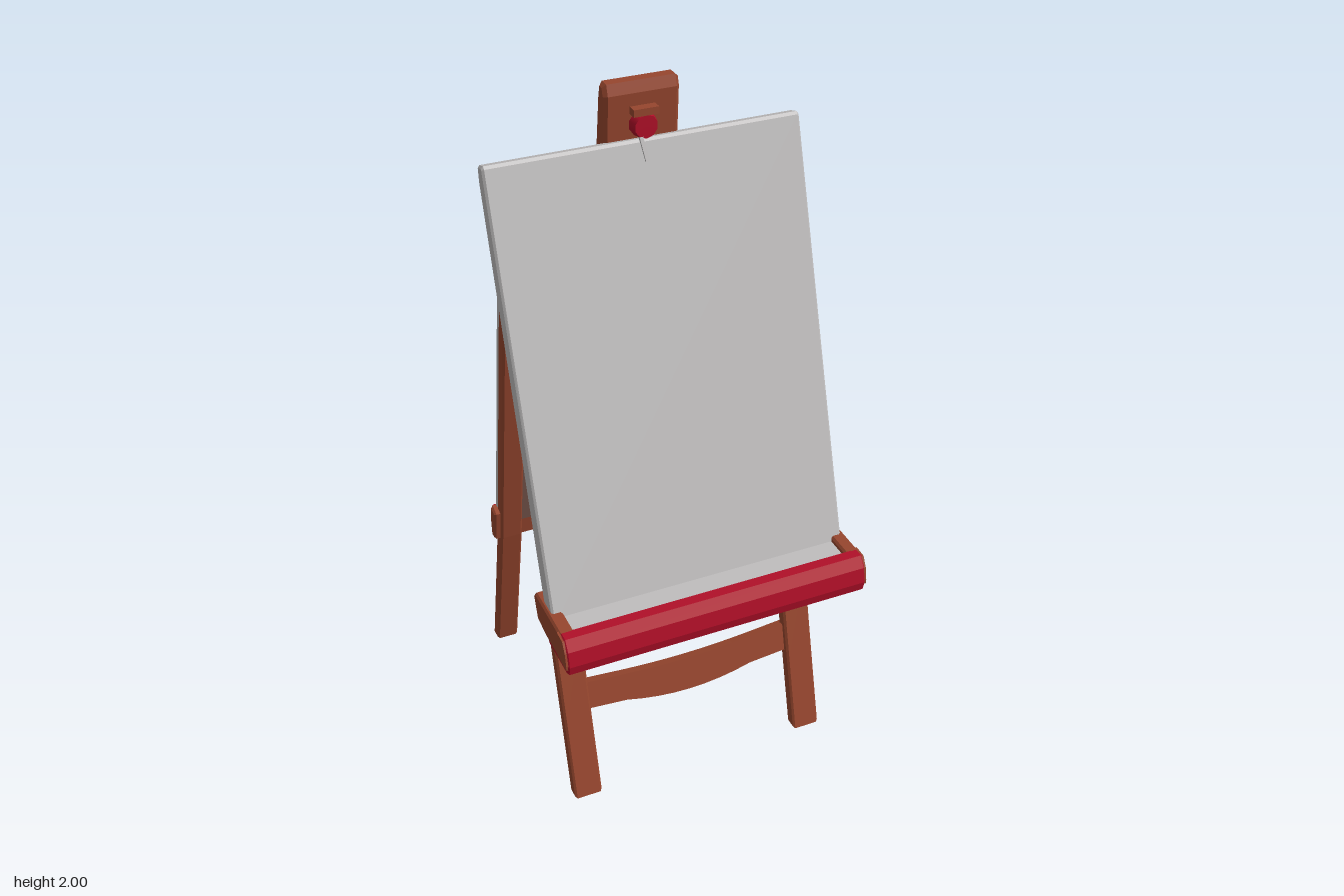
import * as THREE from 'three';

const flat = (name, color, extra = {}) => {
  const m = new THREE.MeshStandardMaterial({ color, ...extra });
  m.name = name;
  return m;
};

export function createModel() {
  const model = new THREE.Group();
  model.name = 'easel';
  const wood = flat('wood', 0x96462e);
  const backing = flat('backing', 0x76554b);
  const paper = flat('paper', 0xbfbdbd);
  const red = flat('red', 0xb00f28);

  const add = (name, geometry, material) => {
    const mesh = new THREE.Mesh(geometry, material);
    mesh.name = name;
    model.add(mesh);
    return mesh;
  };

  // Extrude a [z, y] side profile across x, centred on cx
  const slab = (name, material, profile, width, cx = 0, bevel = 0.006) => {
    const shape = new THREE.Shape(profile.map(([z, y]) => new THREE.Vector2(z, y)));
    const depth = width - 2 * bevel;
    const g = new THREE.ExtrudeGeometry(shape, {
      depth, bevelEnabled: bevel > 0, bevelSize: bevel, bevelThickness: bevel,
      bevelOffset: -bevel, bevelSegments: 1,
    });
    g.translate(0, 0, -depth / 2);
    g.rotateY(-Math.PI / 2);
    g.translate(cx, 0, 0);
    return add(name, g, material);
  };

  // Side profile of a bar that follows a [z, y] path with a given z thickness
  const strip = (path, t) => [
    ...path.map(([z, y]) => [z + t / 2, y]),
    ...[...path].reverse().map(([z, y]) => [z - t / 2, y]),
  ];

  // Splayed legs
  for (const s of [-1, 1]) {
    const side = s > 0 ? 'left' : 'right';
    slab(side + 'FrontLeg', wood,
      strip([[0.32, 0], [0.255, 0.24], [0.185, 0.5], [0.02, 1.25], [-0.085, 1.76]], 0.042), 0.084, s * 0.36);
    slab(side + 'BackLeg', wood,
      strip([[-0.44, 0], [-0.325, 0.5], [-0.105, 1.71]], 0.042), 0.068, s * 0.348);
  }

  // Curved crossbar between the front legs
  const bar = new THREE.Shape();
  bar.moveTo(-0.33, 0.25);
  bar.lineTo(-0.2, 0.24);
  bar.quadraticCurveTo(0, 0.19, 0.2, 0.24);
  bar.lineTo(0.33, 0.25);
  bar.lineTo(0.33, 0.335);
  bar.lineTo(0.2, 0.325);
  bar.quadraticCurveTo(0, 0.31, -0.2, 0.325);
  bar.lineTo(-0.33, 0.335);
  const barGeometry = new THREE.ExtrudeGeometry(bar, {
    depth: 0.03, bevelEnabled: false, curveSegments: 8,
  });
  barGeometry.translate(0, -0.29, -0.015);
  barGeometry.rotateX(-0.26);
  barGeometry.translate(0, 0.29, 0.228);
  add('crossbar', barGeometry, wood);

  // Front canvas
  slab('frontBoard', paper,
    [[0.33, 0.675], [-0.055, 1.845], [-0.062, 1.852], [-0.094, 1.842], [-0.09, 1.80], [0.265, 0.675]], 0.885);

  // Front tray: floor, end walls, paper liner and red lip
  slab('trayFloor', wood,
    [[0.405, 0.685], [0.205, 0.685], [0.228, 0.622], [0.30, 0.612], [0.405, 0.612]], 0.88);
  slab('trayLiner', paper, [[0.405, 0.692], [0.30, 0.692], [0.30, 0.684], [0.405, 0.684]], 0.82, 0, 0);
  slab('trayLip', red,
    [[0.40, 0.706], [0.43, 0.706], [0.45, 0.675], [0.459, 0.63], [0.454, 0.602], [0.31, 0.602], [0.31, 0.62], [0.40, 0.635]], 0.904);
  for (const s of [-1, 1]) {
    slab('trayEnd', wood,
      [[0.402, 0.706], [0.217, 0.706], [0.202, 0.69], [0.228, 0.622], [0.30, 0.612], [0.402, 0.612]], 0.042, s * 0.432);
    slab('trayEndCap', wood,
      [[0.43, 0.702], [0.39, 0.704], [0.39, 0.62], [0.454, 0.62], [0.455, 0.635], [0.447, 0.672]], 0.008, s * 0.451, 0);
  }

  // Rear board: backing between the legs and a sheet over them
  slab('rearBacking', backing, strip([[-0.308, 0.56], [-0.115, 1.66]], 0.02), 0.64, 0, 0);
  slab('rearSheet', paper, strip([[-0.335, 0.58], [-0.134, 1.69]], 0.016), 0.765, 0, 0.003);

  // Rear ledge with a red face
  slab('rearLedge', wood,
    [[-0.297, 0.60], [-0.335, 0.61], [-0.347, 0.56], [-0.342, 0.495], [-0.315, 0.495]], 0.80);
  slab('rearLedgeFace', red,
    [[-0.335, 0.606], [-0.343, 0.606], [-0.357, 0.55], [-0.35, 0.49], [-0.335, 0.49]], 0.785, 0, 0.003);

  // Top clip with its lower tongue
  slab('clip', wood,
    [[-0.088, 2.0], [-0.118, 2.0], [-0.128, 1.96], [-0.184, 1.56], [-0.15, 1.55], [-0.105, 1.72], [-0.085, 1.84], [-0.078, 1.97]], 0.21, 0, 0.01);
  slab('clipTongue', wood,
    [[-0.172, 1.58], [-0.192, 1.46], [-0.182, 1.435], [-0.16, 1.45], [-0.145, 1.58]], 0.19);

  // Knob on the clip with a small hanging pull
  const knob = add('knob', new THREE.CylinderGeometry(0.032, 0.038, 0.03, 10), red);
  knob.rotation.x = Math.PI / 2;
  knob.position.set(0, 1.885, -0.068);
  const knobHood = add('knobHood', new THREE.BoxGeometry(0.07, 0.02, 0.03), wood);
  knobHood.position.set(0, 1.925, -0.068);
  const pull = add('pull', new THREE.BoxGeometry(0.01, 0.07, 0.008), paper);
  pull.position.set(-0.01, 1.83, -0.048);
  pull.rotation.set(-0.3, 0, 0.15);

  // Strap loop hanging inside the legs
  const cord = (name, material, pts, r = 0.011) => {
    const curve = new THREE.CatmullRomCurve3(pts.map((p) => new THREE.Vector3(...p)));
    add(name, new THREE.TubeGeometry(curve, 48, r, 6, false), material);
  };
  cord('strapLoop', wood, [
    [0, 1.72, -0.095], [0, 1.4, -0.112], [0, 1.1, -0.108], [0, 0.8, -0.092], [0.005, 0.5, -0.055],
    [0.015, 0.3, -0.022], [0, 0.222, 0.005], [-0.03, 0.27, 0.042], [-0.038, 0.36, 0.045],
    [-0.012, 0.58, 0.03], [-0.005, 0.9, 0.008], [0, 1.25, -0.03], [0, 1.72, -0.095],
  ]);
  cord('strapStrand', wood, [
    [0, 1.72, -0.09], [0, 1.4, -0.03], [0, 1.1, 0.005], [0, 0.8, 0.026], [0.002, 0.55, 0.03], [0.012, 0.32, 0.03], [0, 0.225, 0.008],
  ], 0.01);
  cord('strapLining', red, [[0.006, 0.55, 0.036], [0.018, 0.42, 0.036], [0.024, 0.32, 0.032]], 0.009);

  return model;
}
